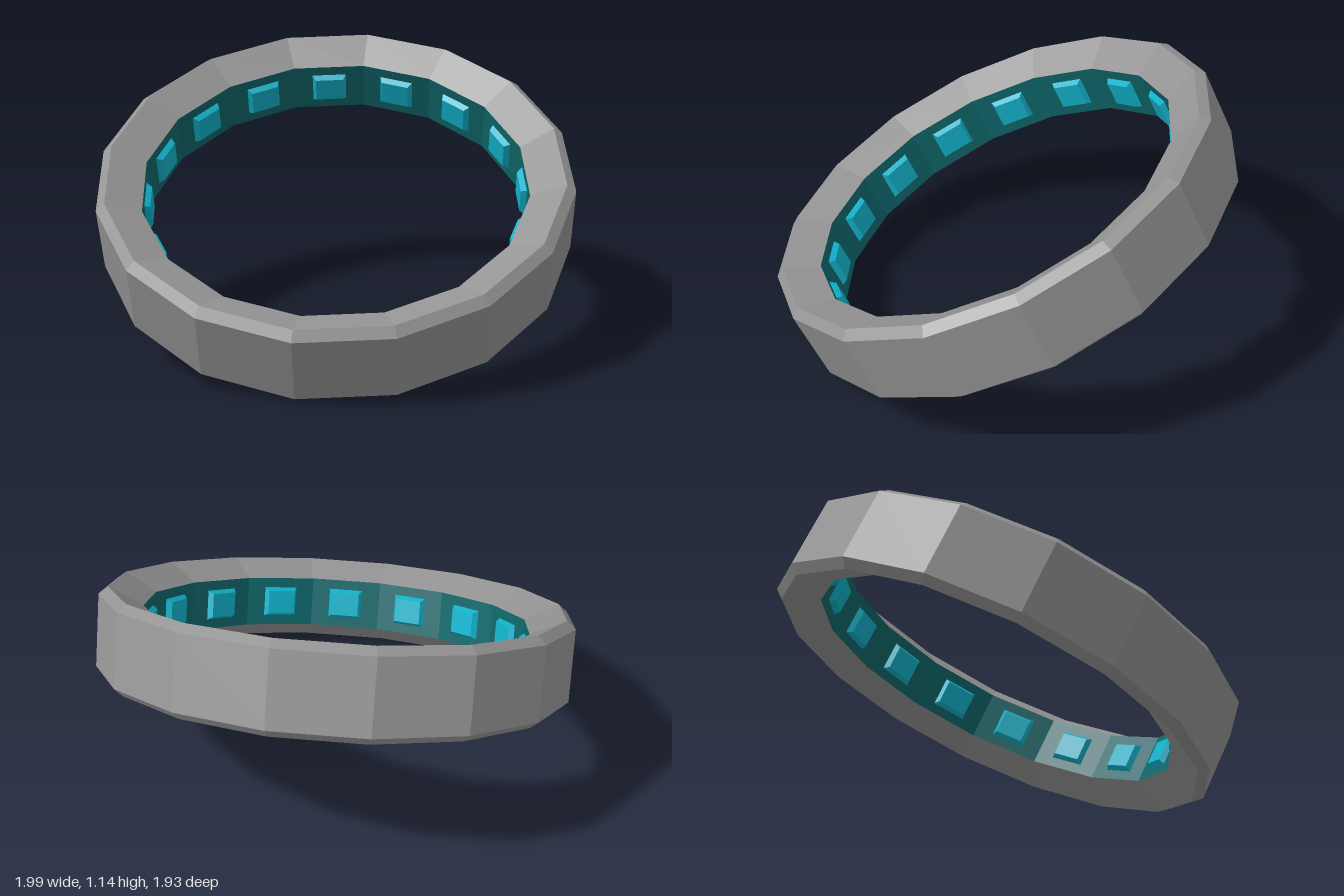
import * as THREE from 'three';

const SIDES = 16;
const PHASE = THREE.MathUtils.degToRad(4.3);
const STEP = (Math.PI * 2) / SIDES;

const grey = new THREE.MeshStandardMaterial({ color: 0x959595, flatShading: true });
grey.name = 'grey shell';
const teal = new THREE.MeshStandardMaterial({ color: 0x0f666a, flatShading: true });
teal.name = 'dark teal';
const cyan = new THREE.MeshStandardMaterial({ color: 0x12b2ca, flatShading: true });
cyan.name = 'bright cyan';

// Faceted ring surface swept from [radius, height] points
function ring(name, profile, material) {
  const points = profile.map(([r, h]) => new THREE.Vector2(r, h));
  const mesh = new THREE.Mesh(new THREE.LatheGeometry(points, SIDES, PHASE, Math.PI * 2), material);
  mesh.name = name;
  return mesh;
}

// Raised pad with bevelled edges, its small face on +z
function padGeometry(width, height, depth, bevel) {
  const geometry = new THREE.BoxGeometry(width, height, depth);
  const p = geometry.attributes.position;
  for (let i = 0; i < p.count; i++) {
    if (p.getZ(i) > 0) {
      p.setX(i, p.getX(i) - Math.sign(p.getX(i)) * bevel);
      p.setY(i, p.getY(i) - Math.sign(p.getY(i)) * bevel);
    }
  }
  geometry.computeVertexNormals();
  return geometry;
}

export function createModel() {
  const inner = 0.807, innerHalf = 0.11;
  const hoop = new THREE.Group();
  hoop.name = 'tiltedRing';

  // Outer wall, narrow outer bevels and wide inner slopes
  hoop.add(ring('outerShell', [
    [inner, -innerHalf], [0.952, -0.183], [0.99, -0.152],
    [0.99, 0.152], [0.952, 0.183], [inner, innerHalf],
  ], grey));

  // Inside band
  hoop.add(ring('innerBand', [[inner, innerHalf], [inner, -innerHalf]], teal));

  // One pad in the middle of each inner facet
  const pads = new THREE.Group();
  pads.name = 'innerPads';
  const geometry = padGeometry(0.16, 0.142, 0.03, 0.018);
  const distance = inner * Math.cos(STEP / 2) - 0.008;
  for (let i = 0; i < SIDES; i++) {
    const angle = PHASE + (i + 0.5) * STEP;
    const pad = new THREE.Mesh(geometry, cyan);
    pad.name = 'innerPad';
    pad.position.set(Math.sin(angle) * distance, 0, Math.cos(angle) * distance);
    pad.rotation.y = angle + Math.PI;
    pads.add(pad);
  }
  hoop.add(pads);

  // Lean the ring forwards and raise its left side slightly
  hoop.rotation.set(THREE.MathUtils.degToRad(24.7), 0, THREE.MathUtils.degToRad(5.5));
  hoop.position.y = 0.573;

  const model = new THREE.Group();
  model.name = 'ring';
  model.add(hoop);
  return model;
}
